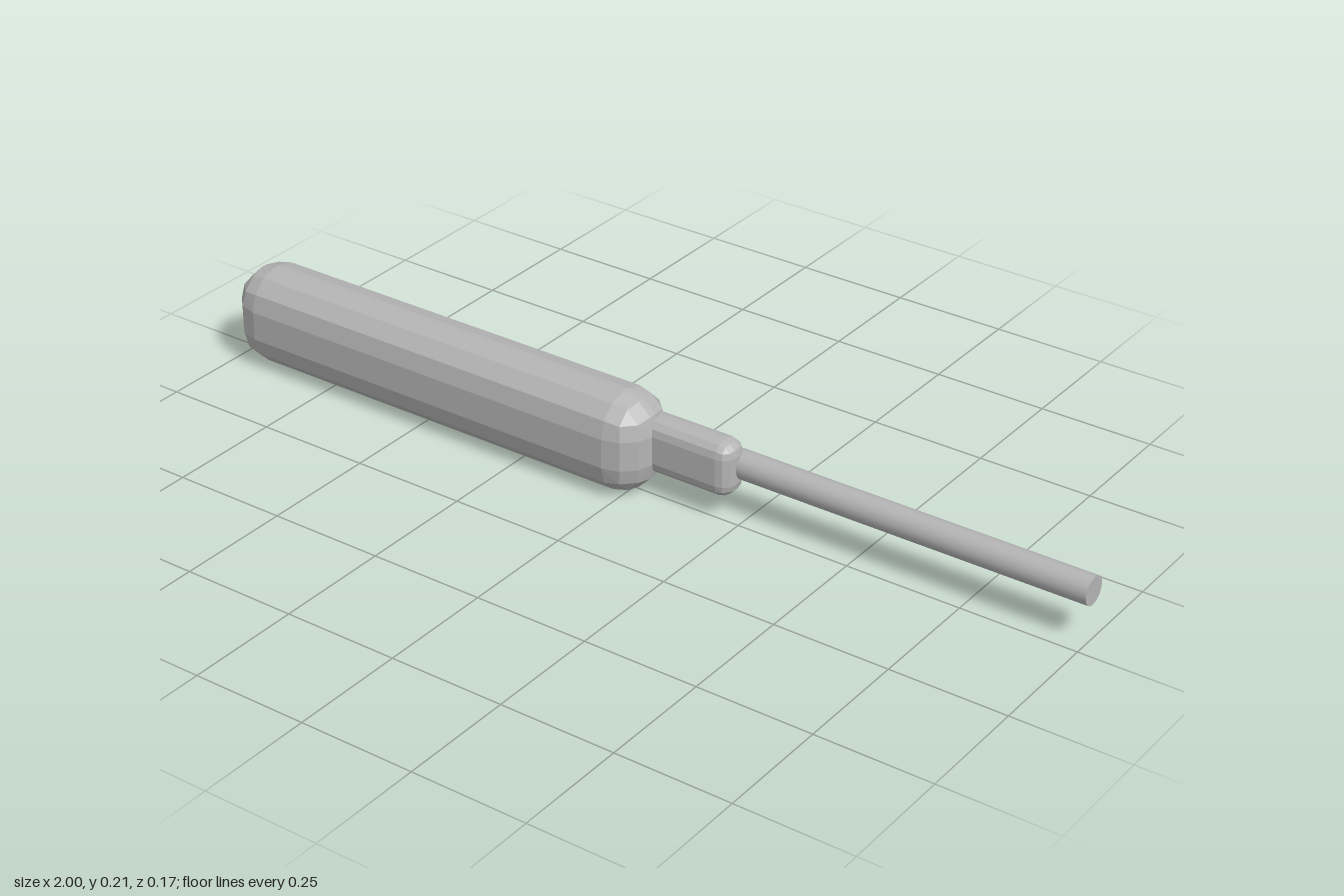
import * as THREE from 'three';
import { ConvexGeometry } from 'three/addons/geometries/ConvexGeometry.js';

// Unit directions of one rounded corner with three bevel steps
function cornerDirections() {
  const c = Math.cos(Math.PI / 6), s = 0.5;
  const base = [[1, 0, 0], [c, s, 0], [c, 0, s], [2, 1.12, 1.12]];
  const dirs = [];
  for (const [a, b, d] of base) {
    // cycle the axes so all three sides of the corner match
    dirs.push(new THREE.Vector3(a, b, d), new THREE.Vector3(d, a, b), new THREE.Vector3(b, d, a));
  }
  return dirs.map((v) => v.normalize());
}

// Faceted block with all edges rounded, given its min and max corners
function bevelledBlock(min, max, radius) {
  const centre = min.map((m, i) => (m + max[i]) / 2);
  const inner = min.map((m, i) => (max[i] - m) / 2 - radius);
  const points = [];
  for (const sx of [-1, 1]) for (const sy of [-1, 1]) for (const sz of [-1, 1]) {
    for (const d of cornerDirections()) {
      points.push(new THREE.Vector3(
        centre[0] + sx * (inner[0] + radius * d.x),
        centre[1] + sy * (inner[1] + radius * d.y),
        centre[2] + sz * (inner[2] + radius * d.z)));
    }
  }
  return new ConvexGeometry(points);
}

export function createModel() {
  const group = new THREE.Group();
  const grey = new THREE.MeshStandardMaterial({ color: 0xb4b4b4 });
  grey.name = 'grey';

  const add = (name, geometry) => {
    const mesh = new THREE.Mesh(geometry, grey);
    mesh.name = name;
    group.add(mesh);
    return mesh;
  };

  // Thick grip
  add('handle', bevelledBlock([-1, 0, -0.083], [0.055, 0.214, 0.083], 0.075));

  // Small block between grip and rod, set towards the back
  add('collar', bevelledBlock([0, 0.048, -0.06], [0.232, 0.168, 0.014], 0.03));

  // Thin round rod, off centre
  const shaft = add('shaft', new THREE.CylinderGeometry(0.03, 0.03, 0.805, 32));
  shaft.rotation.z = -Math.PI / 2;
  shaft.position.set(0.5975, 0.109, -0.046);

  return group;
}
